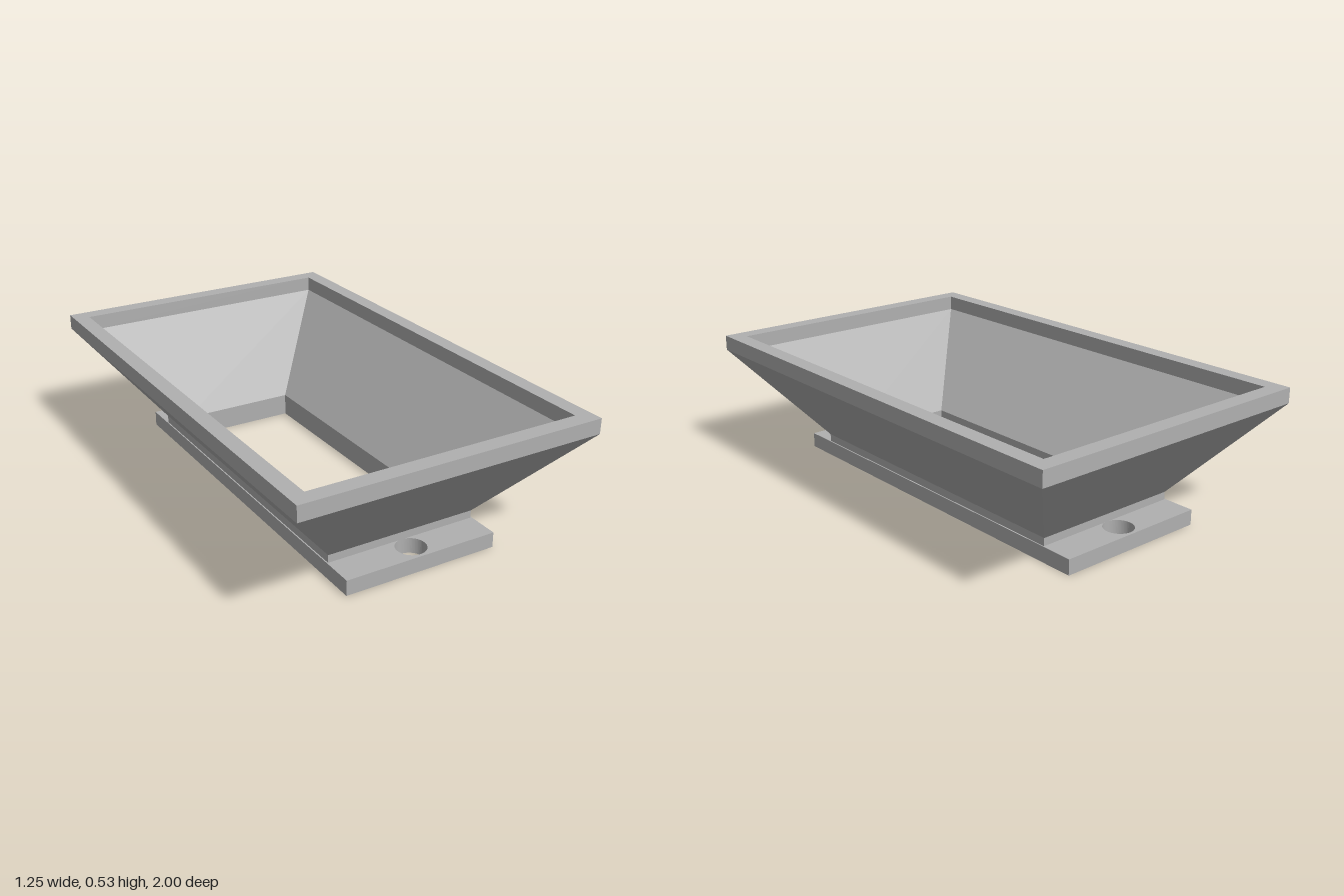
import * as THREE from 'three';

// Rectangular ring swept through cross-sections [halfX, halfZ, y], outside going up, inside going down
function rectLoft(sections) {
  const corners = [[1, 1], [1, -1], [-1, -1], [-1, 1]];
  const pos = [];
  for (let i = 0; i < sections.length - 1; i++) {
    for (let k = 0; k < 4; k++) {
      const at = (s, c) => [s[0] * c[0], s[2], s[1] * c[1]];
      const c0 = corners[k], c1 = corners[(k + 1) % 4];
      const a = at(sections[i], c0), b = at(sections[i], c1);
      const c = at(sections[i + 1], c1), d = at(sections[i + 1], c0);
      pos.push(...a, ...b, ...c, ...a, ...c, ...d);
    }
  }
  const geo = new THREE.BufferGeometry();
  geo.setAttribute('position', new THREE.Float32BufferAttribute(pos, 3));
  geo.computeVertexNormals();
  return geo;
}

function rectangle(path, hx, hz) {
  path.moveTo(-hx, -hz);
  path.lineTo(hx, -hz);
  path.lineTo(hx, hz);
  path.lineTo(-hx, hz);
  path.closePath();
  return path;
}

export function createModel() {
  const group = new THREE.Group();
  group.name = 'hopper';
  const grey = new THREE.MeshStandardMaterial({ color: 0xb0b0b0 });
  grey.name = 'grey';

  const add = (name, geometry) => {
    const mesh = new THREE.Mesh(geometry, grey);
    mesh.name = name;
    group.add(mesh);
    return mesh;
  };

  const baseTop = 0.0625, collarTop = 0.094, slopeTop = 0.469, top = 0.531;

  // Mounting flange with a rectangular outlet and two screw holes
  const plate = rectangle(new THREE.Shape(), 0.323, 0.82);
  plate.holes.push(rectangle(new THREE.Path(), 0.25, 0.624));
  for (const s of [-1, 1]) {
    plate.holes.push(new THREE.Path().absarc(0, s * 0.747, 0.06, 0, Math.PI * 2, true));
  }
  const flangeGeo = new THREE.ExtrudeGeometry(plate, { depth: baseTop, bevelEnabled: false, curveSegments: 32 });
  flangeGeo.rotateX(-Math.PI / 2);
  add('mountingFlange', flangeGeo);

  // Short straight neck: outer and inner walls
  add('collarOuter', rectLoft([[0.318, 0.688, baseTop], [0.318, 0.688, collarTop]]));
  add('collarInner', rectLoft([[0.25, 0.624, collarTop], [0.25, 0.624, baseTop]]));

  // Sloping funnel walls
  add('funnelOuter', rectLoft([[0.318, 0.688, collarTop], [0.625, 1, slopeTop]]));
  add('funnelInner', rectLoft([[0.56, 0.934, slopeTop], [0.25, 0.624, collarTop]]));

  // Upright rim around the mouth
  add('rim', rectLoft([
    [0.625, 1, slopeTop], [0.625, 1, top], [0.56, 0.934, top], [0.56, 0.934, slopeTop],
  ]));

  return group;
}
